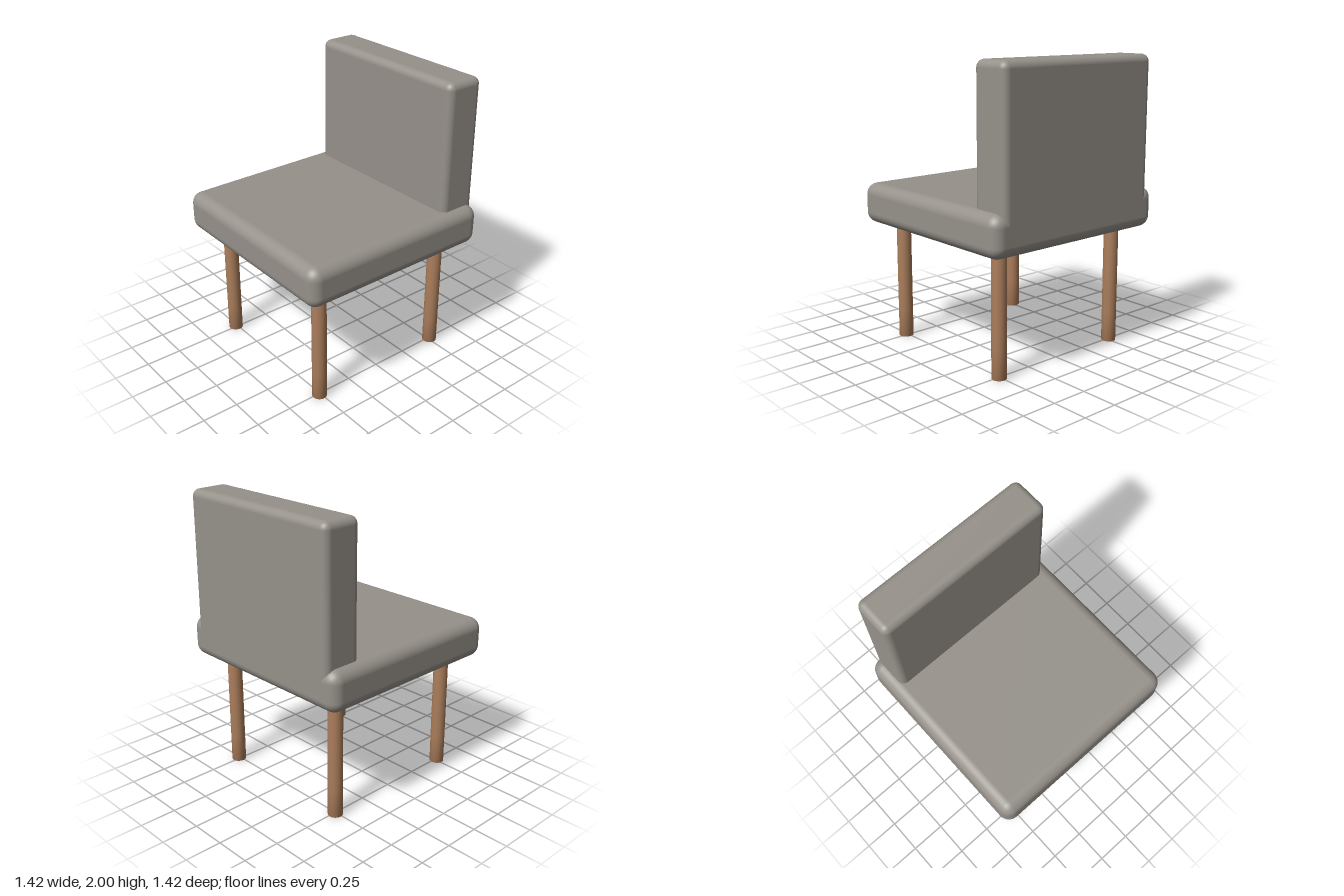
import * as THREE from 'three';
import { RoundedBoxGeometry } from 'three/addons/geometries/RoundedBoxGeometry.js';

const fabric = new THREE.MeshStandardMaterial({ color: 0x96918a });
fabric.name = 'grey fabric';
const wood = new THREE.MeshStandardMaterial({ color: 0xa97c5a });
wood.name = 'brown wood';

// Rounded cushion given by its size, corner radius and centre
function cushion(name, [w, h, d], radius, [x, y, z]) {
  const mesh = new THREE.Mesh(new RoundedBoxGeometry(w, h, d, 6, radius), fabric);
  mesh.name = name;
  mesh.position.set(x, y, z);
  return mesh;
}

export function createModel() {
  const chair = new THREE.Group();
  chair.name = 'chair';

  // Seat, and a backrest sunk into it, flush with its rear face
  chair.add(cushion('seat', [1.42, 0.28, 1.42], 0.08, [0, 0.97, 0]));
  chair.add(cushion('backrest', [1.28, 1.03, 0.28], 0.05, [0, 1.485, -0.57]));

  // Round legs with softly shaded feet, ending inside the seat
  const r = 0.05;
  const profile = [[0, 0], [r, 0], [r, 0.2], [r, 0.86], [0, 0.86]];
  const legGeometry = new THREE.LatheGeometry(
    profile.map(([x, y]) => new THREE.Vector2(x, y)), 24);
  for (const [side, x] of [['Left', 0.51], ['Right', -0.51]]) {
    for (const [end, z] of [['front', 0.51], ['back', -0.51]]) {
      const leg = new THREE.Mesh(legGeometry, wood);
      leg.name = `${end}${side}Leg`;
      leg.position.set(x, 0, z);
      chair.add(leg);
    }
  }
  return chair;
}
